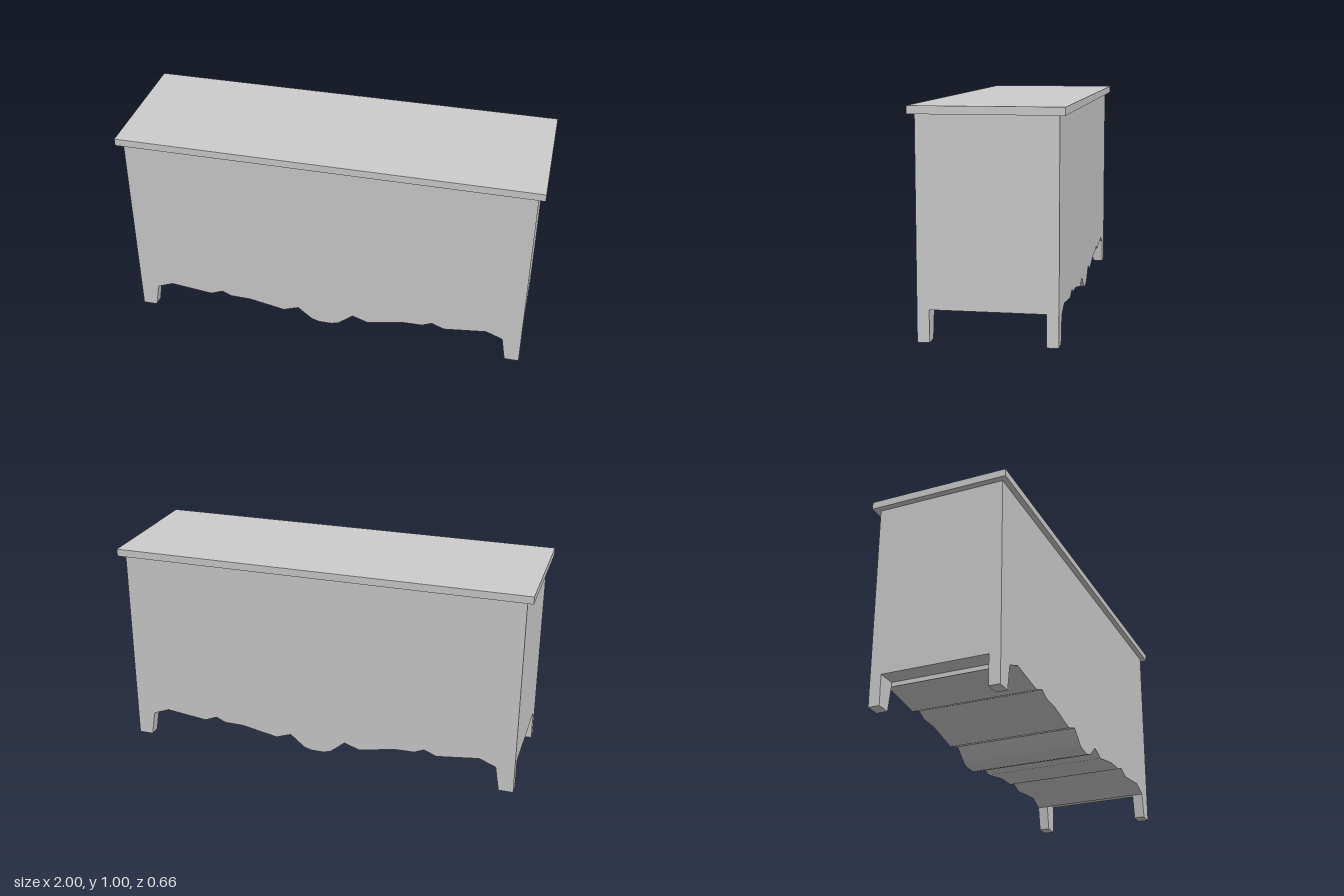
import * as THREE from 'three';

const material = new THREE.MeshStandardMaterial({ color: 0xcccccc });

const HALF_W = 0.97, HALF_D = 0.303, RAIL_Y = 0.143, BODY_TOP = 0.97;

// Right half of the scalloped lower edge, from the centre outwards
const scallop = [
  [0.032, 0.053], [0.066, 0.063], [0.1, 0.09], [0.139, 0.123], [0.214, 0.096],
  [0.39, 0.131], [0.487, 0.133], [0.535, 0.154], [0.595, 0.129],
  [0.8, 0.154], [0.88, 0.122],
];

function extrude(name, points, z0, z1) {
  const shape = new THREE.Shape(points.map(([x, y]) => new THREE.Vector2(x, y)));
  const geometry = new THREE.ExtrudeGeometry(shape, { depth: z1 - z0, bevelEnabled: false });
  geometry.translate(0, 0, z0);
  const mesh = new THREE.Mesh(geometry, material);
  mesh.name = name;
  return mesh;
}

const mirror = (points) => points.map(([x, y]) => [-x, y]).reverse();

export function createModel() {
  const group = new THREE.Group();
  group.name = 'sideboard';

  // Overhanging flat top
  const top = new THREE.Mesh(new THREE.BoxGeometry(2, 0.035, 0.66), material);
  top.position.y = BODY_TOP + 0.0175;
  top.name = 'top';
  group.add(top);

  // Carcass with the scalloped apron running through its whole depth
  const half = [...scallop, [0.88, RAIL_Y], [HALF_W, RAIL_Y], [HALF_W, BODY_TOP]];
  group.add(extrude('body', [...mirror(half), ...half], -HALF_D, HALF_D));

  // Four short legs, tapered on the inner side
  const leg = [[0.9, 0], [HALF_W, 0], [HALF_W, RAIL_Y], [0.88, RAIL_Y], [0.88, 0.122]];
  for (const [side, points] of [['Left', leg], ['Right', mirror(leg)]]) {
    group.add(extrude('front' + side + 'Leg', points, 0.25, HALF_D));
    group.add(extrude('back' + side + 'Leg', points, -HALF_D, -0.25));
  }
  return group;
}
